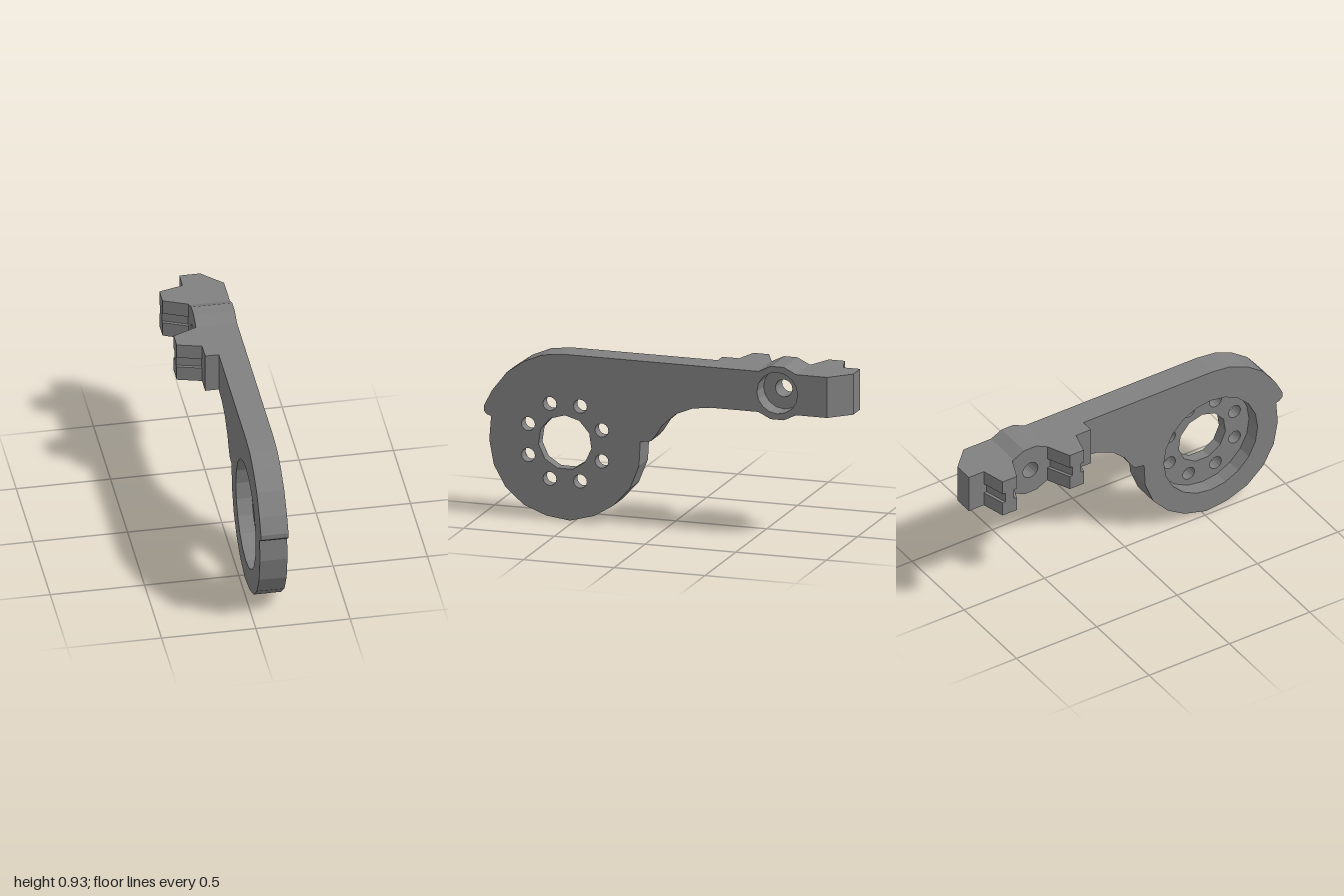
import * as THREE from 'three';

const DISC = [0.553, 0.419];  // centre of the round end, as [z, y]
const HUB = [-0.617, 0.786];  // centre of the arm's bolt hole, as [z, y]
const TOP = 0.895;            // upper edge of the arm
const BOTTOM = 0.676;         // lower edge of the arm

// Side outline as [z, y]
const hubTop = [[-0.513, TOP], [-0.58, 0.928], [-0.654, 0.928], [-0.721, TOP]];
const hubBottom = [[-0.721, BOTTOM], [-0.654, 0.643], [-0.58, 0.643], [-0.513, BOTTOM]];
const tail = [...hubTop, [-1, TOP], [-1, BOTTOM], ...hubBottom];
const fullOutline = [
  [0.56, TOP], ...tail,
  // underside curve down to the notch
  [-0.25, BOTTOM], [-0.15, 0.663], [-0.06, 0.626], [0.017, 0.557], [0.055, 0.497], [0.08, 0.467], [0.138, 0.457],
  // round end
  [0.145, 0.327], [0.195, 0.201], [0.285, 0.102], [0.39, 0.037], [0.525, 0], [0.655, 0.016], [0.78, 0.064],
  [0.88, 0.151], [0.945, 0.266], [0.97, 0.4], [0.96, 0.527],
  // small lip and shoulder
  [0.982, 0.535], [1, 0.552], [1, 0.58], [0.955, 0.667], [0.875, 0.77], [0.78, 0.838], [0.675, 0.882],
];
const armOutline = [[-0.24, TOP], ...tail, [-0.24, BOTTOM]];

function ring([z, y], radius, sides, turn = 0) {
  return Array.from({ length: sides }, (_, i) => {
    const a = turn + (i / sides) * Math.PI * 2;
    return [z + radius * Math.cos(a), y + radius * Math.sin(a)];
  });
}

// Reversed so that outlines run counter-clockwise
const toPoints = (list) => list.map(([z, y]) => new THREE.Vector2(-z, y)).reverse();

export function createModel() {
  const model = new THREE.Group();
  const grey = new THREE.MeshStandardMaterial({ color: 0x808080 });
  grey.name = 'grey';

  const add = (name, geometry) => {
    const mesh = new THREE.Mesh(geometry, grey);
    mesh.name = name;
    model.add(mesh);
  };

  // Slab of the side outline between two x positions, with its rear outer corner cut off
  function slab(name, outline, holes, x0, x1) {
    const shape = new THREE.Shape(toPoints(outline));
    shape.holes = holes.map((h) => new THREE.Path(toPoints(h)));
    const geo = new THREE.ExtrudeGeometry(shape, { depth: x1 - x0, bevelEnabled: false });
    geo.rotateY(Math.PI / 2).translate(x0, 0, 0);
    const p = geo.attributes.position;
    for (let i = 0; i < p.count; i++) {
      p.setZ(i, Math.max(p.getZ(i), -1 + Math.max(0, p.getX(i) - 0.065)));
    }
    geo.computeVertexNormals();
    add(name, geo);
  }

  const bolt = ring(HUB, 0.047, 16);
  const counterbore = ring(HUB, 0.112, 16);
  const recess = ring(DISC, 0.292, 20);
  const centreHole = ring(DISC, 0.147, 11, Math.PI / 2);
  const screwHoles = ring(DISC, 0.219, 8, Math.PI / 8).map((c) => ring(c, 0.037, 14));

  slab('armBacking', armOutline, [bolt], -0.045, 0.027);
  slab('innerPlate', fullOutline, [bolt, recess], 0.027, 0.065);
  slab('middlePlate', fullOutline, [counterbore, recess], 0.065, 0.11);
  slab('outerPlate', fullOutline, [counterbore, centreHole, ...screwHoles], 0.11, 0.173);

  // Tapered teeth, each with a shallow groove around mid height
  function tooth(name, zs) {
    [[BOTTOM, 0.757, 0], [0.757, 0.815, 0.018], [0.815, TOP, 0]].forEach(([y0, y1, inset], i) => {
      const [a, b, c, d] = zs;
      const corners = [[-0.045, a + inset], [-0.173, b + inset], [-0.173, c - inset], [-0.045, d - inset]];
      const shape = new THREE.Shape(corners.map(([x, z]) => new THREE.Vector2(x, -z)));
      const geo = new THREE.ExtrudeGeometry(shape, { depth: y1 - y0, bevelEnabled: false });
      geo.rotateX(-Math.PI / 2).translate(0, y0, 0);
      add(name + ['Lower', 'Groove', 'Upper'][i], geo);
    });
  }
  tooth('rearTooth', [-0.907, -0.873, -0.785, -0.73]);
  tooth('frontTooth', [-0.512, -0.455, -0.368, -0.333]);

  return model;
}
